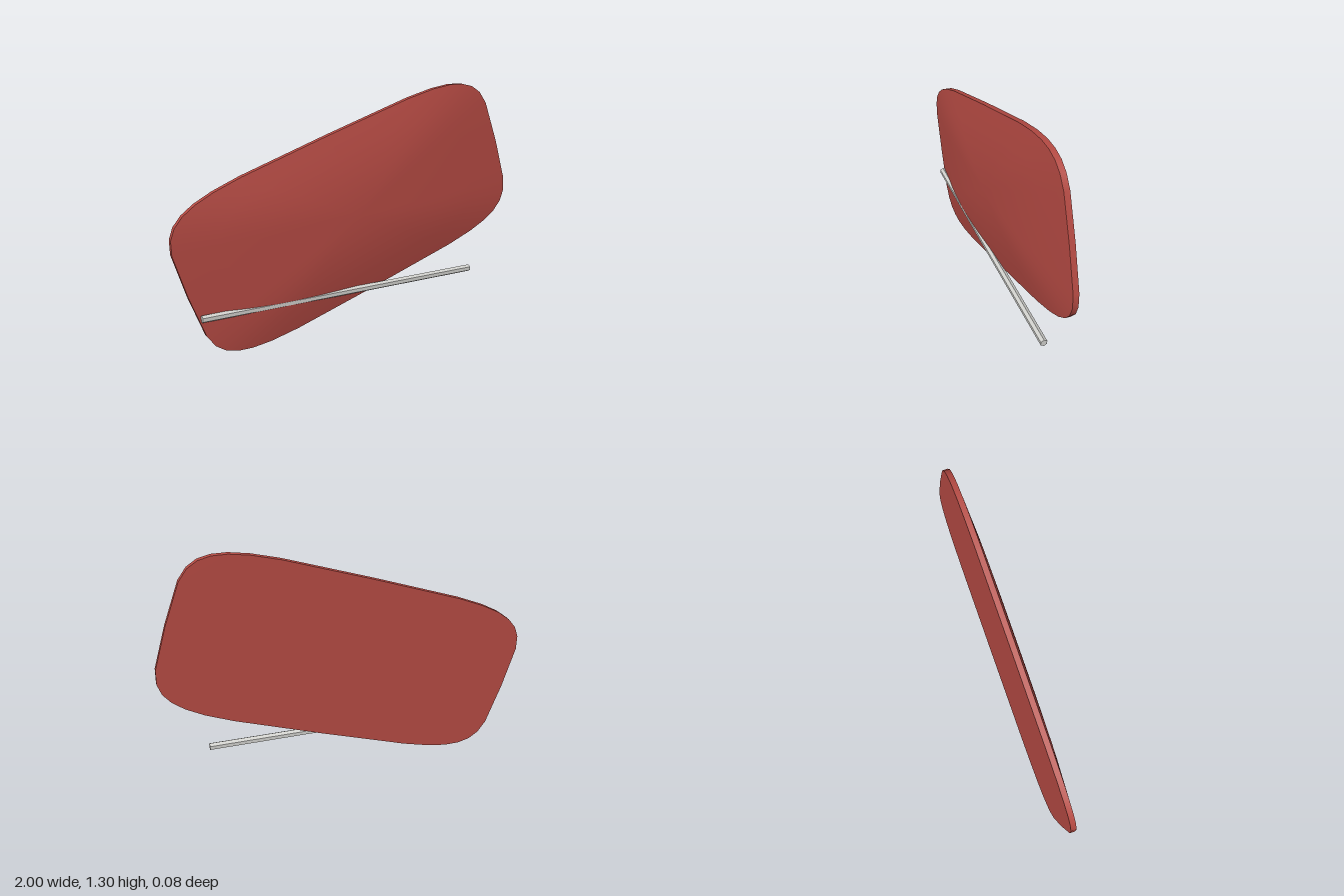
import * as THREE from 'three';

const SEGMENTS = 32;
const HALF_LENGTH = 0.98, HALF_WIDTH = 0.46, TILT = 0.325;
const BACK_Z = -0.04, EDGE_Z = -0.01, DOME = 0.052;

// Point on the tilted superellipse outline, scaled towards its centre
function outlinePoint(i, scale, z) {
  const t = (i / SEGMENTS) * Math.PI * 2;
  const bulge = (v) => Math.sign(v) * Math.abs(v) ** 0.4;
  const u = HALF_LENGTH * bulge(Math.cos(t)) * scale;
  const v = HALF_WIDTH * bulge(Math.sin(t)) * scale;
  const c = Math.cos(TILT), s = Math.sin(TILT);
  return [u * c - v * s, u * s + v * c, z];
}

// Skin through a list of rings [scale, z], smooth-shaded
function loft(rings) {
  const positions = [], index = [];
  for (const [scale, z] of rings) {
    for (let i = 0; i < SEGMENTS; i++) positions.push(...outlinePoint(i, scale, z));
  }
  for (let r = 0; r < rings.length - 1; r++) {
    for (let i = 0; i < SEGMENTS; i++) {
      const j = (i + 1) % SEGMENTS;
      const a = r * SEGMENTS + i, b = r * SEGMENTS + j;
      const c = a + SEGMENTS, d = b + SEGMENTS;
      index.push(a, b, d, a, d, c);
    }
  }
  // Close the last ring with a fan
  if (rings.length > 2 || rings[1][0] === 0) {
    const [, z] = rings[rings.length - 1];
    const centre = positions.length / 3, start = (rings.length - 1) * SEGMENTS;
    positions.push(0, 0, z);
    for (let i = 0; i < SEGMENTS; i++) {
      index.push(start + i, start + ((i + 1) % SEGMENTS), centre);
    }
  }
  const geometry = new THREE.BufferGeometry();
  geometry.setAttribute('position', new THREE.Float32BufferAttribute(positions, 3));
  geometry.setIndex(index);
  geometry.computeVertexNormals();
  return geometry;
}

export function createModel() {
  const model = new THREE.Group();
  const red = new THREE.MeshStandardMaterial({ name: 'brick red', color: 0xb54a43 });
  const grey = new THREE.MeshStandardMaterial({ name: 'light grey', color: 0xd0d0cc, flatShading: true });

  const add = (parent, name, geometry, material) => {
    const mesh = new THREE.Mesh(geometry, material);
    mesh.name = name;
    parent.add(mesh);
    return mesh;
  };

  // Tilted panel: domed front, straight rim, flat back
  const panel = new THREE.Group();
  panel.name = 'panel';
  panel.position.y = 0.652;
  model.add(panel);

  const domeRings = [[1, 0], [0.75, 0.46], [0.5, 0.79], [0.25, 0.98]]
    .map(([scale, h]) => [scale, EDGE_Z + DOME * h]);
  add(panel, 'domedFront', loft(domeRings), red);
  add(panel, 'rim', loft([[1, BACK_Z], [1, EDGE_Z]]), red);

  const outline = Array.from({ length: SEGMENTS }, (_, i) => {
    const [x, y] = outlinePoint(i, 1, 0);
    return new THREE.Vector2(-x, y);
  });
  const back = add(panel, 'flatBack', new THREE.ShapeGeometry(new THREE.Shape(outline)), red);
  back.rotation.y = Math.PI;
  back.position.z = BACK_Z;

  // Level six-sided rod, partly sunk in the panel front
  const rodGeometry = new THREE.CylinderGeometry(0.02, 0.02, 1.63, 6, 1, false, Math.PI / 6);
  const rod = add(model, 'rod', rodGeometry, grey);
  rod.rotation.z = Math.PI / 2;
  rod.position.set(-0.055, 0.22, 0.004);

  return model;
}
